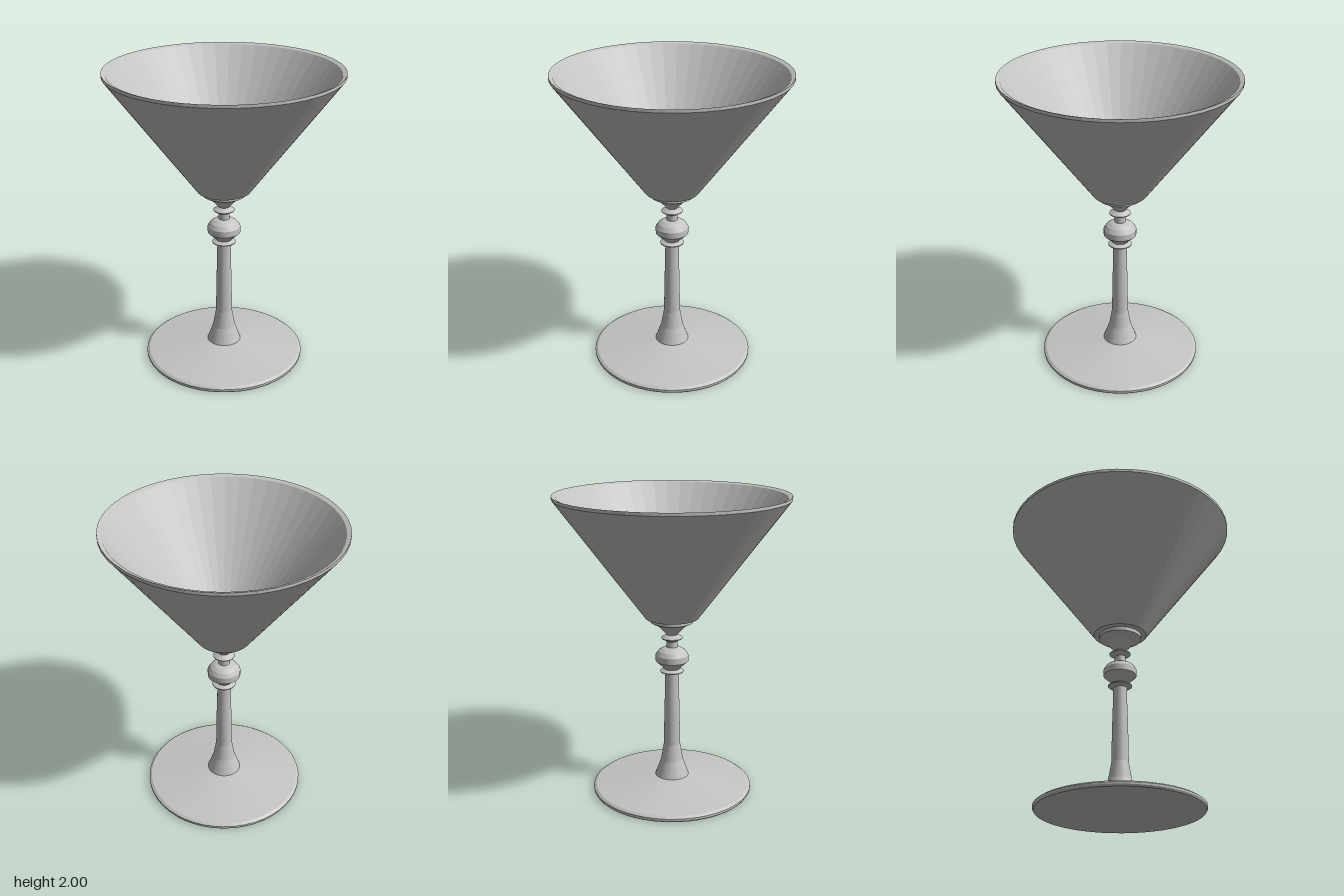
import * as THREE from 'three';

const SIDES = 48;

// Each profile runs upward along the outside as [radius, height]
const profiles = {
  foot: [[0, 0], [0.53, 0], [0.537, 0.012], [0.537, 0.024], [0.52, 0.036], [0.113, 0.092]],
  stem: [[0.113, 0.092], [0.075, 0.2], [0.055, 0.315], [0.051, 0.56], [0.046, 0.72], [0.045, 0.82]],
  lowerRing: [[0.045, 0.82], [0.078, 0.832], [0.078, 0.838], [0.05, 0.852]],
  knop: [[0.05, 0.852], [0.062, 0.866], [0.108, 0.908], [0.108, 0.95], [0.09, 0.977], [0.065, 0.994], [0.036, 1.003]],
  neck: [[0.036, 1.003], [0.036, 1.043]],
  upperRing: [[0.036, 1.043], [0.07, 1.062], [0.07, 1.067], [0.036, 1.088]],
  collar: [[0.036, 1.088], [0.06, 1.115], [0.09, 1.147], [0.14, 1.175], [0.14, 1.2]],
  // Outside wall, rim, then down the inside to the well
  bowl: [[0.14, 1.2], [0.175, 1.203], [0.752, 1.98], [0.752, 2], [0.725, 1.99],
    [0.168, 1.24], [0.09, 1.222], [0, 1.222]],
};

// Faceted solid of revolution
function turned(name, profile, material) {
  const points = profile.map(([r, y]) => new THREE.Vector2(r, y));
  const geometry = new THREE.LatheGeometry(points, SIDES).toNonIndexed();
  geometry.computeVertexNormals();
  const mesh = new THREE.Mesh(geometry, material);
  mesh.name = name;
  return mesh;
}

export function createModel() {
  const group = new THREE.Group();
  group.name = 'stemGlass';
  const grey = new THREE.MeshStandardMaterial({ color: 0xc4c4c4 });
  grey.name = 'light grey';
  for (const [name, profile] of Object.entries(profiles)) {
    group.add(turned(name, profile, grey));
  }
  return group;
}
